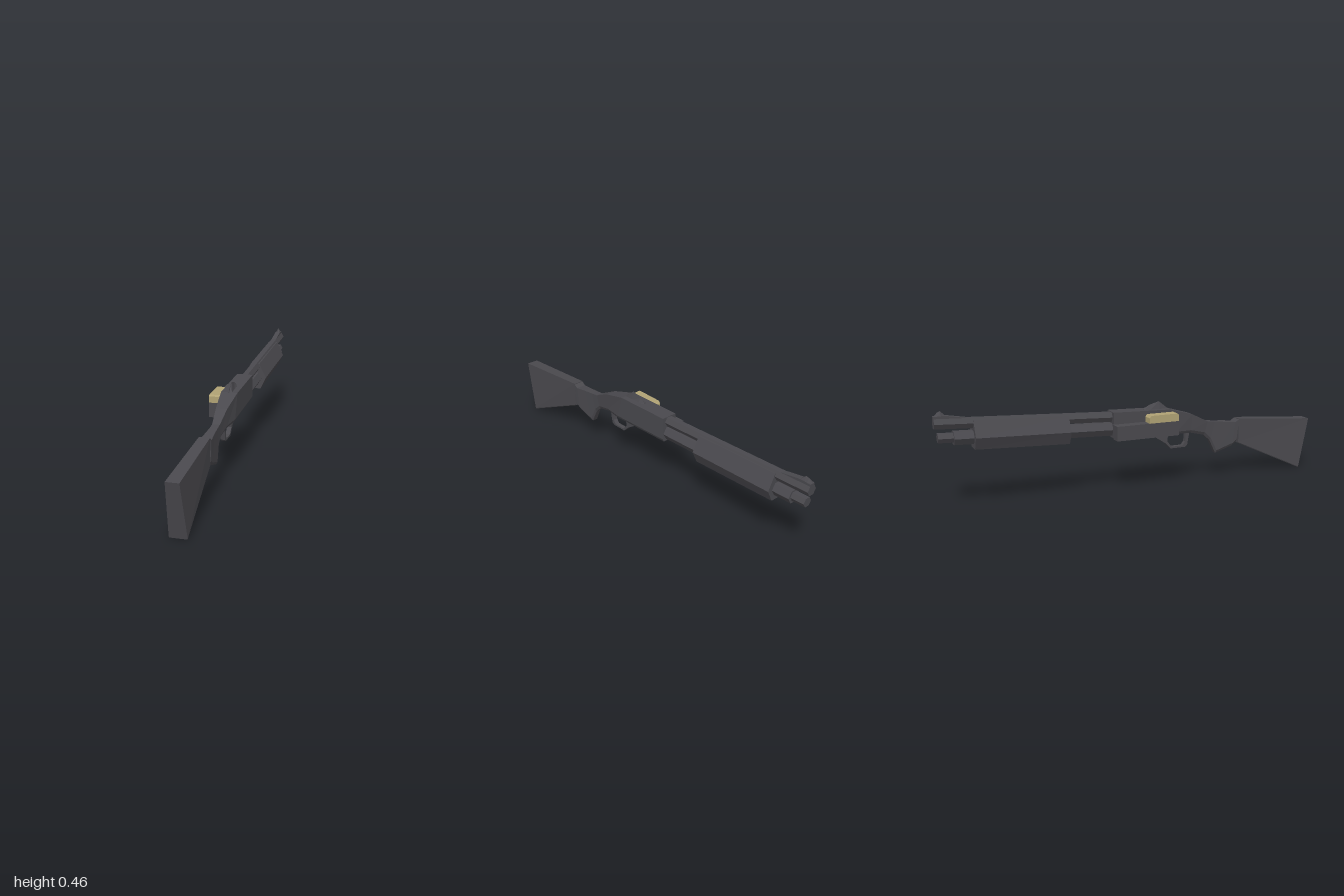
import * as THREE from 'three';

const gunmetal = new THREE.MeshStandardMaterial({ color: 0x4a494e, flatShading: true });
gunmetal.name = 'charcoal';
const brass = new THREE.MeshStandardMaterial({ color: 0xb0a274, flatShading: true });
brass.name = 'dull brass';

// Skins convex cross-sections (counter-clockwise seen from +z), listed from rear (+z) to muzzle (-z).
function loft(name, sections, material = gunmetal) {
  const pos = [];
  const tri = (a, b, c) => pos.push(...a, ...b, ...c);
  const n = sections[0].length;
  for (let s = 0; s < sections.length - 1; s++) {
    const a = sections[s], b = sections[s + 1];
    for (let i = 0; i < n; i++) {
      const j = (i + 1) % n;
      tri(a[i], b[i], b[j]);
      tri(a[i], b[j], a[j]);
    }
  }
  const first = sections[0], last = sections[sections.length - 1];
  for (let i = 1; i < n - 1; i++) {
    tri(first[0], first[i], first[i + 1]);
    tri(last[0], last[i + 1], last[i]);
  }
  const geo = new THREE.BufferGeometry();
  geo.setAttribute('position', new THREE.Float32BufferAttribute(pos, 3));
  geo.computeVertexNormals();
  const mesh = new THREE.Mesh(geo, material);
  mesh.name = name;
  return mesh;
}

// Slanted body section with square top and chamfered bottom.
function slab([zTop, yTop, zBot, yBot, wTop, wBot = wTop], chamfer = 0) {
  const t = chamfer / (yTop - yBot);
  const z = zBot + (zTop - zBot) * t, y = yBot + chamfer;
  return [[-wBot + chamfer / 2, yBot, zBot], [wBot - chamfer / 2, yBot, zBot], [wBot, y, z],
    [wTop, yTop, zTop], [-wTop, yTop, zTop], [-wBot, y, z]];
}

// Six-sided tube section with a flat top.
function hex(z, y, rx, ry) {
  return [[-rx / 2, y - ry, z], [rx / 2, y - ry, z], [rx, y, z],
    [rx / 2, y + ry, z], [-rx / 2, y + ry, z], [-rx, y, z]];
}

// Triangular ridge section used by both sights.
const ridge = (z, base, top, w) => [[-w, base, z], [w, base, z], [0, top, z]];
// Rectangular section with separate top width.
const block = (z, y0, y1, w, wTop = w) => [[-w, y0, z], [w, y0, z], [wTop, y1, z], [-wTop, y1, z]];

export function createModel() {
  const model = new THREE.Group();
  model.name = 'pumpActionLongGun';
  const body = new THREE.Group();
  body.name = 'body';
  body.position.x = 0.015;
  model.add(body);

  // Shoulder stock
  body.add(loft('stock', [
    slab([1.0, 0.265, 0.94, 0, 0.03, 0.04], 0.004),
    slab([0.565, 0.3, 0.565, 0.17, 0.025], 0.004),
  ]));

  // Grip, wrist and receiver in one continuous skin
  body.add(loft('receiverAndGrip', [
    [0.567, 0.298, 0.552, 0.176, 0.026],
    [0.545, 0.283, 0.53, 0.16, 0.026],
    [0.48, 0.29, 0.433, 0.128, 0.021],
    [0.425, 0.295, 0.4, 0.198, 0.018],
    [0.385, 0.3, 0.364, 0.23, 0.018],
    [0.29, 0.347, 0.283, 0.251, 0.027],
    [0.155, 0.385, 0.2, 0.254, 0.04],
    [-0.147, 0.394, -0.147, 0.267, 0.04],
  ].map((s) => slab(s, 0.014))));

  // Barrel and magazine tube, both rising gently forward
  body.add(loft('barrel', [hex(-0.14, 0.367, 0.026, 0.0235), hex(-1, 0.408, 0.026, 0.0235)]));
  body.add(loft('magazineTube', [hex(-0.14, 0.307, 0.036, 0.031), hex(-0.915, 0.336, 0.036, 0.03)]));
  body.add(loft('magazineCap', [hex(-0.91, 0.338, 0.024, 0.021), hex(-0.985, 0.341, 0.024, 0.021)]));

  // Sliding fore-end with pointed sides
  const foreEnd = (z, bottom, mid, top) => [[-0.032, bottom, z], [0.032, bottom, z], [0.06, mid, z],
    [0.023, top, z], [-0.023, top, z], [-0.06, mid, z]];
  body.add(loft('foreEnd', [foreEnd(-0.37, 0.26, 0.321, 0.394), foreEnd(-0.825, 0.279, 0.337, 0.413)]));

  // Front sight: ramp and pointed post
  body.add(loft('frontSightRamp', [
    block(-0.845, 0.41, 0.424, 0.013),
    block(-0.95, 0.42, 0.443, 0.013),
    block(-1, 0.42, 0.441, 0.013),
  ]));
  body.add(loft('frontSightPost', [
    ridge(-0.945, 0.44, 0.442, 0.013),
    ridge(-0.967, 0.44, 0.463, 0.013),
    ridge(-0.98, 0.44, 0.458, 0.013),
    ridge(-0.998, 0.438, 0.441, 0.013),
  ]));

  // Rear sight
  body.add(loft('rearSight', [
    ridge(0.16, 0.38, 0.386, 0.014),
    ridge(0.113, 0.38, 0.424, 0.014),
    ridge(0.06, 0.385, 0.409, 0.014),
    ridge(0.03, 0.385, 0.393, 0.014),
  ]));

  // Trigger guard: side outline in (z, y) with an opening
  const points = (list) => list.map(([z, y]) => new THREE.Vector2(-z, y));
  const guardShape = new THREE.Shape(points([
    [0.283, 0.257], [0.27, 0.187], [0.258, 0.177], [0.177, 0.177], [0.145, 0.208], [0.053, 0.266],
  ]));
  guardShape.holes.push(new THREE.Path(points([
    [0.262, 0.25], [0.258, 0.205], [0.244, 0.186], [0.183, 0.186], [0.157, 0.214], [0.16, 0.243], [0.175, 0.252],
  ])));
  const guardGeo = new THREE.ExtrudeGeometry(guardShape, { depth: 0.022, bevelEnabled: false });
  guardGeo.translate(0, 0, -0.011);
  guardGeo.rotateY(Math.PI / 2);
  const guard = new THREE.Mesh(guardGeo, gunmetal);
  guard.name = 'triggerGuard';
  body.add(guard);

  // Shell carrier on the right side, with a brass row along its rear top
  const carrier = new THREE.Mesh(new THREE.BoxGeometry(0.054, 0.072, 0.33), gunmetal);
  carrier.name = 'shellCarrier';
  carrier.position.set(-0.051, 0.299, 0.015);
  model.add(carrier);
  const shells = loft('brassShells', [
    block(0.18, 0.335, 0.366, 0.026),
    block(0.172, 0.335, 0.373, 0.026),
    block(0.03, 0.335, 0.373, 0.026),
    block(0.02, 0.335, 0.362, 0.026),
  ], brass);
  shells.position.x = -0.052;
  model.add(shells);

  return model;
}
